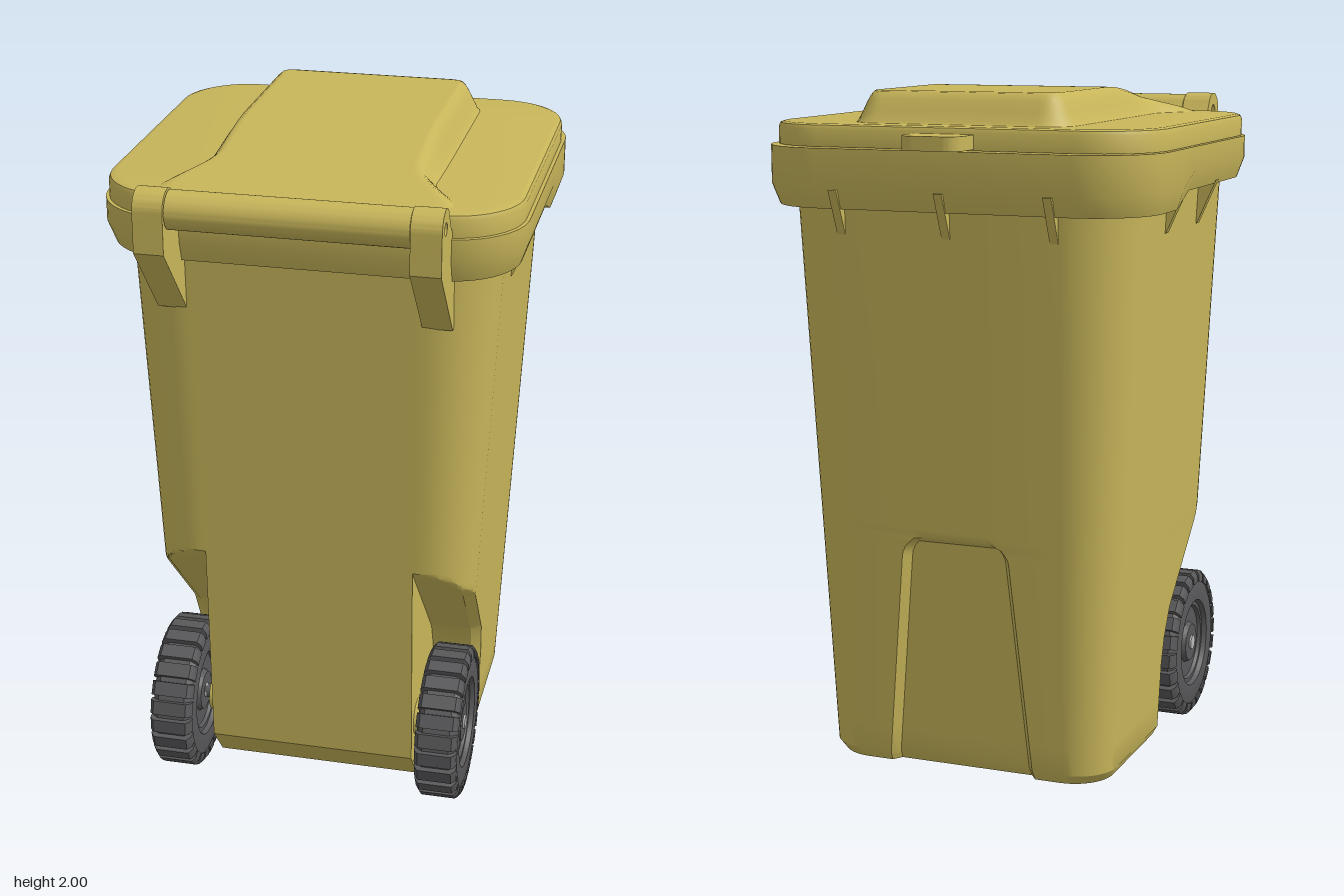
import * as THREE from 'three';
import { toCreasedNormals } from 'three/addons/utils/BufferGeometryUtils.js';

const bodyMat = new THREE.MeshStandardMaterial({ color: 0xc8b65a });
const tyreMat = new THREE.MeshStandardMaterial({ color: 0x58585a });
const capMat = new THREE.MeshStandardMaterial({ color: 0xbbbbbb });

const clamp01 = t => Math.min(1, Math.max(0, t));
const smooth = t => { t = clamp01(t); return t * t * (3 - 2 * t); };

function part(parent, name, geo, mat = bodyMat, crease = 0.6) {
  const mesh = new THREE.Mesh(crease ? toCreasedNormals(geo, crease) : geo, mat);
  mesh.name = name;
  parent.add(mesh);
  return mesh;
}

// Rounded rectangle in x/z; front and back may receive extra points
function outline(w, zf, zb, r, front = [], back = []) {
  const pts = [], n = 12;
  const corner = (cx, cz, a0) => {
    for (let i = 0; i <= n; i++) {
      const a = a0 + (i / n) * Math.PI / 2;
      pts.push([cx + r * Math.cos(a), cz + r * Math.sin(a)]);
    }
  };
  corner(w - r, zf - r, 0);
  pts.push(...front);
  corner(-w + r, zf - r, Math.PI / 2);
  pts.push([-w, -0.15], [-w, -0.26]);
  corner(-w + r, zb + r, Math.PI);
  pts.push(...back);
  corner(w - r, zb + r, Math.PI * 1.5);
  pts.push([w, -0.26], [w, -0.15]);
  return pts;
}
const at = (pts, y) => pts.map(([x, z]) => [x, typeof y === 'function' ? y(z) : y, z]);

// Skin a stack of equal rings, optionally closing the lower and upper ends
function loft(rings, capLow, capHigh) {
  const n = rings[0].length, idx = [];
  for (let i = 0; i < rings.length - 1; i++)
    for (let j = 0; j < n; j++) {
      const a = i * n + j, b = i * n + (j + 1) % n;
      idx.push(a, a + n, b + n, a, b + n, b);
    }
  const cap = (ring, base, up) => {
    const flat = ring.map(p => new THREE.Vector2(p[0], p[2]));
    for (const [a, b, c] of THREE.ShapeUtils.triangulateShape(flat, [])) {
      const s = (flat[b].x - flat[a].x) * (flat[c].y - flat[a].y) - (flat[b].y - flat[a].y) * (flat[c].x - flat[a].x);
      if ((s < 0) === up) idx.push(base + a, base + b, base + c);
      else idx.push(base + a, base + c, base + b);
    }
  };
  if (capLow) cap(rings[0], 0, false);
  if (capHigh) cap(rings[rings.length - 1], (rings.length - 1) * n, true);
  const g = new THREE.BufferGeometry();
  g.setAttribute('position', new THREE.Float32BufferAttribute(rings.flat(2), 3));
  g.setIndex(idx);
  return g;
}

// Extrude a z/y shape along x
function extrudeX(shape, x0, x1) {
  return new THREE.ExtrudeGeometry(shape, { depth: x1 - x0, bevelEnabled: false, curveSegments: 16 })
    .rotateY(-Math.PI / 2).translate(x1, 0, 0);
}

// Rear limit of the wheel wells at a given height
const wellCurve = [[0, 0.07], [0.25, 0.07], [0.33, 0.083], [0.42, 0.12], [0.785, 0.456]];
function wellZ(y) {
  for (let i = 1; i < wellCurve.length; i++) {
    const [y0, z0] = wellCurve[i - 1], [y1, z1] = wellCurve[i];
    if (y <= y1) return z0 + (z1 - z0) * (y - y0) / (y1 - y0);
  }
  return 9;
}

// Tapered tub section with wheel wells in front and a sunken panel at the back
function tubRing(y) {
  const inset = y < 0.05 ? 0.015 : 0;
  const w = 0.44 + 0.05 * y - inset, r = 0.12 + 0.04 * y;
  const zf = 0.42 + 0.044 * y - 0.085 * clamp01((0.13 - y) / 0.11);
  const zb = -(0.467 + 0.055 * y) + inset, zc = wellZ(y), x = 0.31;
  const depth = 0.028 * clamp01((0.73 - y) / 0.02);
  const top = clamp01((y - 0.67) / 0.06);
  const hw = 0.23 - 0.07 * Math.min(1, y / 0.73) - 0.04 * top * top;
  const back = [[-hw, zb], [-hw + 0.02, zb + depth], [hw - 0.02, zb + depth], [hw, zb]];
  const ring = outline(w, zf, zb, r, [[x + 1e-4, zf], [x, zf], [-x, zf], [-x - 1e-4, zf]], back);
  return at(ring.map(([px, pz]) => {
    const ax = Math.abs(px);
    return [px, ax > x + 5e-5 ? Math.min(pz, zc - Math.max(0, ax - w + 0.03)) : pz];
  }), y);
}

function addTub(g) {
  const ys = [0.02, 0.05, 0.13, 0.25, 0.29, 0.33, 0.375, 0.42];
  for (let y = 0.44; y < 0.78; y += 0.015) ys.push(y);
  ys.push(0.785, 0.79, 1.2, 1.8);
  part(g, 'tub', loft(ys.map(tubRing), true, true), bodyMat, 0.5);

  // Collar with a stepped lower edge
  const skirt = z => 1.78 - 0.045 * clamp01((-0.15 - z) / 0.11);
  const under = z => skirt(z) - 0.06;
  part(g, 'collar', loft([
    at(outline(0.5, 0.47, -0.53, 0.18), under),
    at(outline(0.575, 0.52, -0.585, 0.2), under),
    at(outline(0.595, 0.54, -0.605, 0.21), skirt),
    at(outline(0.595, 0.54, -0.605, 0.21), 1.845),
    at(outline(0.55, 0.5, -0.54, 0.19), 1.845),
  ]));

  // Gussets below the collar
  const gusset = (wall, low) => {
    const s = new THREE.Shape([[wall - 0.03, low], [wall, low], [wall + 0.058, 1.73], [wall - 0.03, 1.73]]
      .map(p => new THREE.Vector2(...p)));
    return new THREE.ExtrudeGeometry(s, { depth: 0.025, bevelEnabled: false }).translate(0, 0, -0.0125);
  };
  for (const z of [0.12, -0.18]) {
    part(g, 'sideGusset', gusset(0.522, 1.6).translate(0, 0, z));
    part(g, 'sideGusset', gusset(0.522, 1.6).rotateY(Math.PI).translate(0, 0, z));
  }
  for (const x of [-0.32, 0, 0.32])
    part(g, 'backGusset', gusset(0.556, 1.6).rotateY(Math.PI / 2).translate(x, 0, 0));
}

function addLid(g) {
  const lid = new THREE.Group();
  lid.name = 'lid';
  g.add(lid);
  part(lid, 'lidPlate', loft([
    at(outline(0.55, 0.5, -0.54, 0.19), 1.846),
    at(outline(0.585, 0.53, -0.567, 0.2), 1.846),
    at(outline(0.585, 0.53, -0.567, 0.2), 1.895),
    at(outline(0.58, 0.525, -0.562, 0.195), 1.906),
    at(outline(0.568, 0.513, -0.55, 0.183), 1.91),
  ], false, true));

  // Raised dome: rounded at the back, fading out and widening to the front
  const dome = new THREE.PlaneGeometry(0.92, 1.02, 80, 70).rotateX(-Math.PI / 2).translate(0, 0, 0);
  const p = dome.attributes.position;
  for (let i = 0; i < p.count; i++) {
    const x = p.getX(i), z = p.getZ(i), r = 0.1;
    const dx = 0.345 + 0.1 * smooth((z - 0.28) / 0.2) - Math.abs(x), dz = z + 0.5;
    const qx = Math.max(0, r - dx), qz = Math.max(0, r - dz);
    const d = Math.min(Math.max(dx, r), Math.max(dz, r), 1) === r ? r - Math.hypot(qx, qz) : r;
    const crest = 2 - 0.095 * Math.pow(clamp01(z / 0.5), 1.7);
    p.setY(i, 1.9 + (crest - 1.9) * smooth(d / 0.07));
  }
  dome.computeVertexNormals();
  part(lid, 'lidDome', dome, bodyMat, 0);

  // Hinge barrel joined to the lid
  const bar = new THREE.Shape();
  bar.moveTo(0.48, 1.85);
  bar.lineTo(0.62, 1.847);
  bar.absarc(0.622, 1.901, 0.054, -Math.PI / 2, Math.PI * 0.85, false);
  bar.lineTo(0.555, 1.906);
  bar.lineTo(0.48, 1.909);
  part(lid, 'hingeBarrel', extrudeX(bar, -0.33, 0.33));

  // Lifting tab
  const tab = new THREE.Shape();
  tab.moveTo(-0.09, 0.54);
  tab.lineTo(0.09, 0.54);
  tab.lineTo(0.09, 0.635);
  tab.absarc(0.045, 0.635, 0.045, 0, Math.PI / 2, false);
  tab.absarc(-0.045, 0.635, 0.045, Math.PI / 2, Math.PI, false);
  part(lid, 'liftTab', new THREE.ExtrudeGeometry(tab, { depth: 0.04, bevelEnabled: false })
    .rotateX(-Math.PI / 2).translate(0, 1.85, 0));
}

function addHingeBrackets(g) {
  const s = new THREE.Shape();
  s.moveTo(0.47, 1.565);
  s.lineTo(0.485, 1.565);
  s.lineTo(0.68, 1.79);
  s.lineTo(0.68, 1.905);
  s.absarc(0.625, 1.905, 0.055, 0, Math.PI * 0.8, false);
  s.lineTo(0.55, 1.885);
  s.lineTo(0.5, 1.84);
  s.lineTo(0.47, 1.7);
  s.holes.push(new THREE.Path().absarc(0.625, 1.905, 0.018, 0, Math.PI * 2, true));
  part(g, 'hingeBracket', extrudeX(s, 0.332, 0.416));
  part(g, 'hingeBracket', extrudeX(s, -0.416, -0.332));
}

function makeWheel() {
  const wheel = new THREE.Group();
  wheel.name = 'wheel';
  // Half profile (radius, offset) from hub to tread, mirrored for the other face
  const half = [[0, 0.05], [0.058, 0.05], [0.065, 0.036], [0.112, 0.036], [0.118, 0.046], [0.13, 0.046],
    [0.137, 0.06], [0.185, 0.062], [0.205, 0.055], [0.217, 0.04]];
  const profile = [...half.map(([r, u]) => [r, -u]), ...half.slice().reverse()].map(p => new THREE.Vector2(...p));
  part(wheel, 'tyreAndHub', new THREE.LatheGeometry(profile, 64).rotateZ(-Math.PI / 2), tyreMat, 0.5);
  // Tread lugs with sloping ends
  const lug = new THREE.Shape([[-0.064, 0.195], [0.064, 0.195], [0.062, 0.216], [0.05, 0.231], [-0.05, 0.231], [-0.062, 0.216]]
    .map(p => new THREE.Vector2(...p)));
  const lugGeo = new THREE.ExtrudeGeometry(lug, { depth: 0.042, bevelEnabled: false }).translate(0, 0, -0.021);
  for (let i = 0; i < 24; i++)
    part(wheel, 'treadLug', lugGeo, tyreMat).rotation.x = (i / 24) * Math.PI * 2;
  part(wheel, 'axleCap', new THREE.CylinderGeometry(0.022, 0.022, 0.112, 24).rotateZ(Math.PI / 2), capMat);
  return wheel;
}

export function createModel() {
  const g = new THREE.Group();
  g.name = 'wheeledBin';
  addTub(g);
  addLid(g);
  addHingeBrackets(g);
  for (const s of [1, -1]) {
    const wheel = makeWheel();
    wheel.position.set(s * 0.405, 0.233, 0.345);
    g.add(wheel);
  }
  part(g, 'axle', new THREE.CylinderGeometry(0.022, 0.022, 0.76, 24).rotateZ(Math.PI / 2).translate(0, 0.233, 0.345), tyreMat);
  part(g, 'axleBoss', new THREE.CylinderGeometry(0.055, 0.055, 0.66, 24).rotateZ(Math.PI / 2).translate(0, 0.233, 0.345));
  return g;
}
